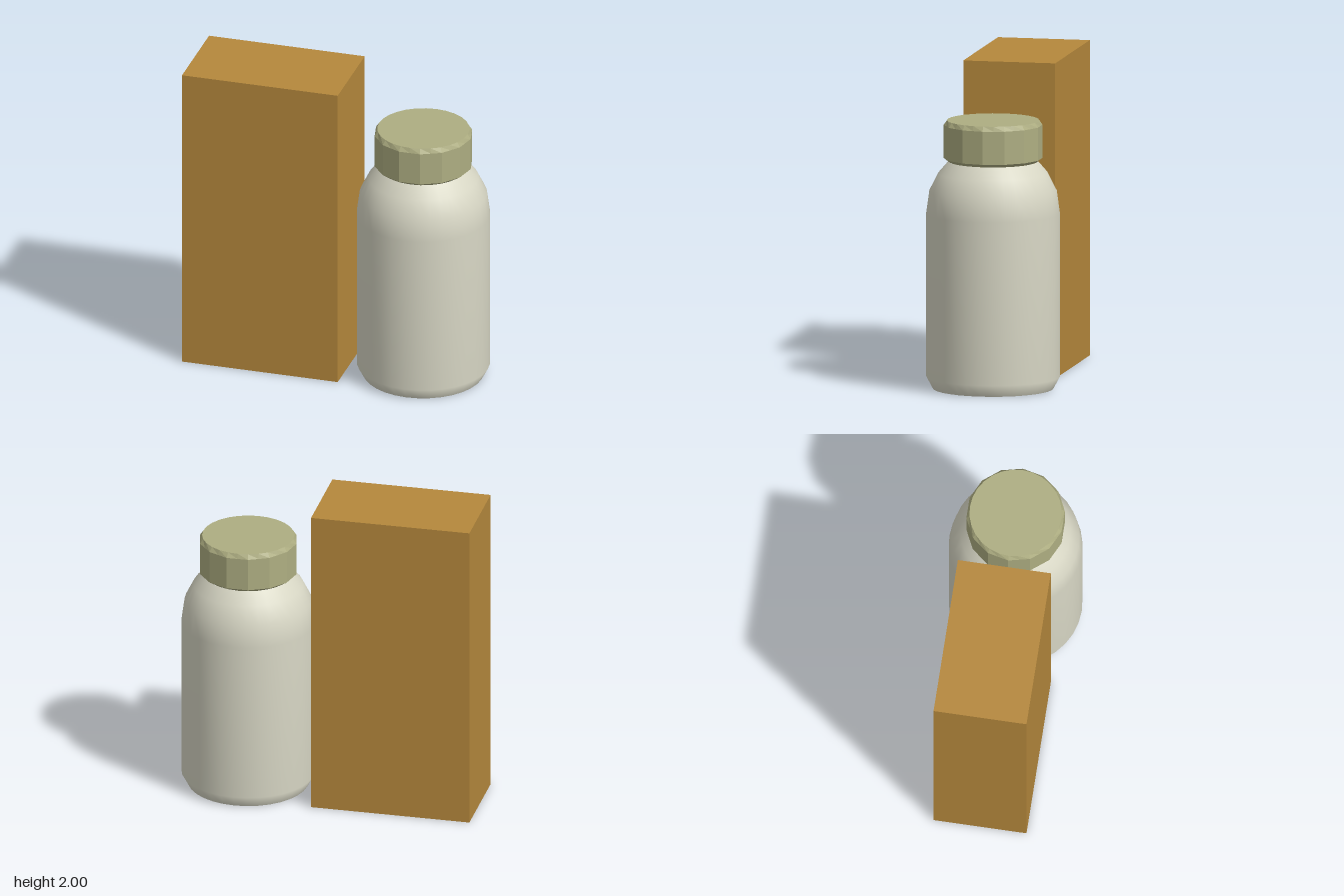
import * as THREE from 'three';

const carton = new THREE.MeshStandardMaterial({ color: 0xb5883c });
carton.name = 'carton ochre';
const shell = new THREE.MeshStandardMaterial({ color: 0xd8d7c5 });
shell.name = 'bottle cream';
const olive = new THREE.MeshStandardMaterial({ color: 0xaeae82 });
olive.name = 'cap olive';

const lathe = (profile, sides) => new THREE.LatheGeometry(
  profile.map(([r, y]) => new THREE.Vector2(r, y)), sides, Math.PI / 2);

function addMesh(parent, name, geometry, material) {
  const mesh = new THREE.Mesh(geometry, material);
  mesh.name = name;
  parent.add(mesh);
  return mesh;
}

// Flat disc facing up (dir 1) or down (dir -1)
function addDisc(parent, name, radius, y, sides, dir, material) {
  const disc = addMesh(parent, name, new THREE.CircleGeometry(radius, sides), material);
  disc.rotation.x = -dir * Math.PI / 2;
  disc.position.y = y;
}

// Cap: 14 flat wall facets that blend into rounder 28-sided rims
function capGeometry() {
  const facets = 14, wallRadius = 0.31;
  const profile = [[0.28, 1.44], [wallRadius, 1.46], [wallRadius, 1.67], [0.29, 1.7]];
  const geo = lathe(profile, facets * 2);
  const pos = geo.attributes.position;
  const flatten = Math.cos(Math.PI / facets);
  for (let i = 0; i < pos.count; i++) {
    const column = Math.floor(i / profile.length), row = i % profile.length;
    if (column % 2 === 1 && (row === 1 || row === 2)) {
      pos.setX(i, pos.getX(i) * flatten);
      pos.setZ(i, pos.getZ(i) * flatten);
    }
  }
  const flat = geo.toNonIndexed();
  flat.computeVertexNormals();
  return flat;
}

export function createModel() {
  const model = new THREE.Group();
  model.name = 'bottleAndCarton';

  // Carton
  const box = addMesh(model, 'carton', new THREE.BoxGeometry(1.02, 2, 0.59), carton);
  box.position.set(-0.45, 1, 0);

  // Bottle with chamfered foot and rounded shoulder
  const bottle = new THREE.Group();
  bottle.name = 'bottle';
  bottle.position.x = 0.533;
  model.add(bottle);
  const body = [[0.38, 0], [0.42, 0.075], [0.42, 1.11], [0.4, 1.255], [0.345, 1.365], [0.28, 1.44]];
  addMesh(bottle, 'bottleBody', lathe(body, 32), shell);
  addDisc(bottle, 'bottleBase', 0.38, 0, 32, -1, shell);

  // Screw cap
  addMesh(bottle, 'capWall', capGeometry(), olive);
  addDisc(bottle, 'capTop', 0.29, 1.7, 28, 1, olive);
  addDisc(bottle, 'capUnderside', 0.28, 1.44, 28, -1, olive);

  return model;
}
